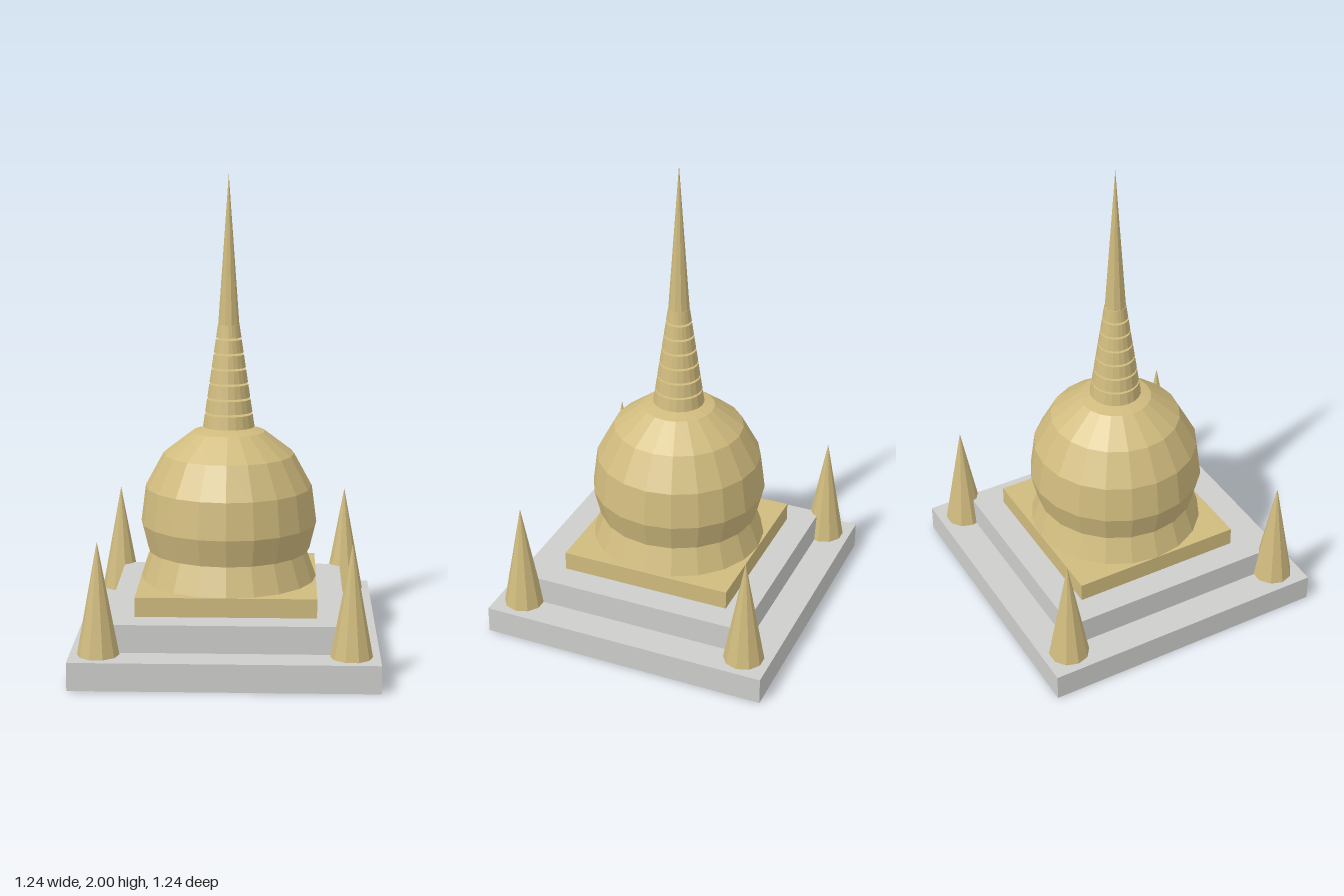
import * as THREE from 'three';

export function createModel() {
  const model = new THREE.Group();
  const make = (name, color, extra = {}) => {
    const m = new THREE.MeshStandardMaterial({ color, flatShading: true, ...extra });
    m.name = name;
    return m;
  };
  const stone = make('pale stone', 0xcdcdcb);
  const gold = make('gold', 0xd0bb7e);
  const goldShell = make('gold shell', 0xd0bb7e, { side: THREE.DoubleSide });

  const add = (name, geometry, material, x, y, z) => {
    const mesh = new THREE.Mesh(geometry, material);
    mesh.name = name;
    mesh.position.set(x, y, z);
    model.add(mesh);
    return mesh;
  };
  // Square slab between two heights
  const slab = (name, half, y0, y1, material) =>
    add(name, new THREE.BoxGeometry(half * 2, y1 - y0, half * 2), material, 0, (y0 + y1) / 2, 0);
  // Round tapered piece between two heights, with a corner on the x axis
  const taper = (name, r0, r1, y0, y1, sides, x = 0, z = 0) =>
    add(name, new THREE.CylinderGeometry(r1, r0, y1 - y0, sides, 1, false, Math.PI / 2),
      gold, x, (y0 + y1) / 2, z);

  // Stepped square base
  slab('lowerTerrace', 0.62, 0, 0.115, stone);
  slab('upperTerrace', 0.485, 0.115, 0.23, stone);
  slab('plinth', 0.37, 0.23, 0.31, gold);

  // Flared drum and bell-shaped dome, open underneath
  taper('drum', 0.37, 0.325, 0.31, 0.435, 20);
  const profile = [
    [0.342, 0.432], [0.37, 0.547], [0.35, 0.7], [0.275, 0.838], [0.152, 0.932], [0, 0.965],
  ].map(([r, y]) => new THREE.Vector2(r, y));
  add('dome', new THREE.LatheGeometry(profile, 20), goldShell, 0, 0, 0);

  // Stack of shrinking rings with narrow gaps, then the finial
  const ringCount = 7, pitch = 0.0625;
  for (let i = 0; i < ringCount; i++) {
    const y = 0.952 + i * pitch, r = 0.108 - i * 0.0092;
    taper('spireRing' + (i + 1), r, r - 0.008, y, y + pitch - 0.009, 20);
  }
  taper('finial', 0.044, 0, 1.38, 2, 10);

  // Small spire on each corner of the lower terrace
  for (const x of [-0.505, 0.505])
    for (const z of [-0.505, 0.505])
      taper('cornerSpire', 0.085, 0, 0.115, 0.577, 10, x, z);

  return model;
}
